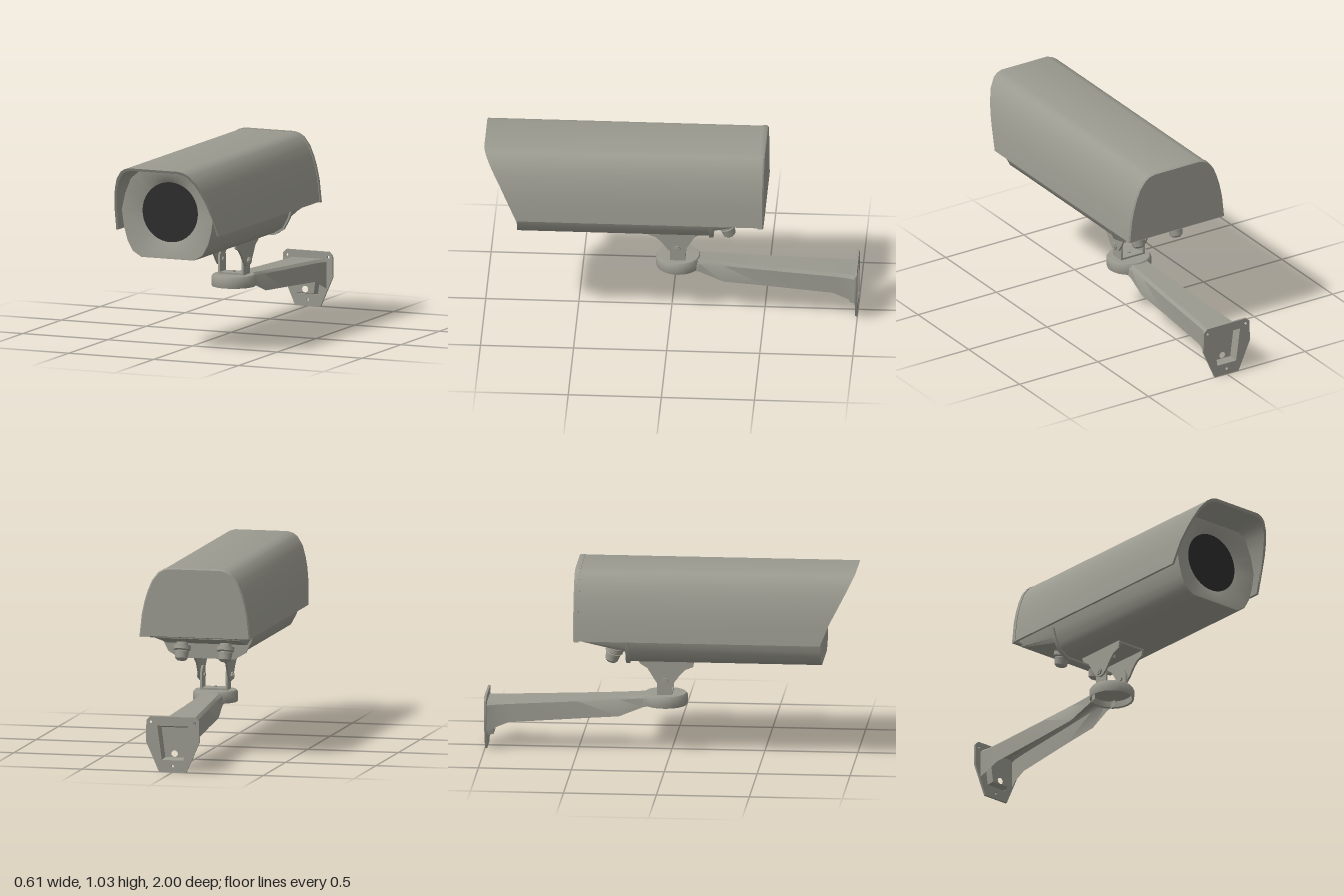
import * as THREE from 'three';
import { toCreasedNormals } from 'three/addons/utils/BufferGeometryUtils.js';

const grey = new THREE.MeshStandardMaterial({ color: 0x9b9a90, side: THREE.DoubleSide });
grey.name = 'warmGrey';
const dark = new THREE.MeshStandardMaterial({ color: 0x2d2d2d });
dark.name = 'glassBlack';

// Right half of an outline (bottom to top) -> full counter-clockwise outline
const mirror = half => [...half, ...half.map(([x, y]) => [-x, y]).reverse()];
const shapeOf = pts => new THREE.Shape(pts.map(p => new THREE.Vector2(...p)));
const circle = (x, y, r) => new THREE.Path().absarc(x, y, r, 0, Math.PI * 2, true);

function add(parent, name, geo, pos = [0, 0, 0], mat = grey, crease = 0.7) {
  const mesh = new THREE.Mesh(toCreasedNormals(geo, crease), mat);
  mesh.name = name;
  mesh.position.set(...pos);
  parent.add(mesh);
  return mesh;
}

// Skin through rings of [x, y, z] points
function loft(rings, closed) {
  const n = rings[0].length, index = [];
  for (let i = 0; i < rings.length - 1; i++) {
    for (let j = 0; j < (closed ? n : n - 1); j++) {
      const k = (j + 1) % n, a = i * n + j, b = i * n + k;
      index.push(a, b, b + n, a, b + n, a + n);
    }
  }
  const geo = new THREE.BufferGeometry();
  geo.setAttribute('position', new THREE.Float32BufferAttribute(rings.flat(2), 3));
  geo.setIndex(index);
  return geo;
}

const extrude = (shape, depth) =>
  new THREE.ExtrudeGeometry(shape, { depth, bevelEnabled: false, curveSegments: 6 });

// Plate drawn in (z, y), given thickness along x, centred on x = 0
const sidePlate = (shape, t) => extrude(shape, t).translate(0, 0, -t / 2).rotateY(-Math.PI / 2);

const hoodHalf = [[0.303, 0.66], [0.29, 0.78], [0.275, 0.85], [0.258, 0.905],
  [0.235, 0.96], [0.2, 1.005], [0.175, 1.02], [0.145, 1.028]];

function buildHood(g) {
  // Sunshade: thin band whose front edge is cut back towards the bottom
  const outer = mirror(hoodHalf);
  const inner = outer.map(([x, y]) => [x * 0.955, 0.66 + (y - 0.66) * 0.96]).reverse();
  const geo = extrude(shapeOf([...outer, ...inner]), 1);
  const p = geo.attributes.position;
  for (let i = 0; i < p.count; i++) {
    const front = 0.82 + 0.18 * Math.max(0, (p.getY(i) - 0.685) / 0.343);
    p.setZ(i, p.getZ(i) > 0.5 ? front : -0.49);
  }
  add(g, 'sunshade', geo);
  // Rear cap, slightly proud of the sunshade
  const cap = mirror(hoodHalf.map(([x, y]) => [x * 1.012, 0.655 + (y - 0.66) * 1.02]));
  const ring = (s, z) => cap.map(([x, y]) => [x * s, 0.83 + (y - 0.83) * s, z]);
  add(g, 'rearCap', loft([ring(0, -0.508), ring(0.975, -0.508), ring(1, -0.5),
    ring(1, -0.478), ring(0.96, -0.478)], true));
}

function buildHousing(g) {
  const corners = mirror([[0.155, 0.52], [0.205, 0.55], [0.238, 0.61], [0.257, 0.68],
    [0.27, 0.77], [0.25, 0.86], [0.215, 0.945], [0.165, 0.985]]);
  // Subdivide the outline so that it blends into the round window
  const outline = corners.flatMap(([x, y], i) => {
    const [u, v] = corners[(i + 1) % corners.length];
    const n = Math.hypot(u - x, v - y) > 0.2 ? 8 : 2;
    return Array.from({ length: n }, (_, k) => [x + (u - x) * k / n, y + (v - y) * k / n]);
  });
  const cy = 0.768, r = 0.163;
  const ring = (z, min = 0, s = 1) =>
    outline.map(([x, y]) => [x * s, Math.max(cy + (y - cy) * s, min), z]);
  const round = z => outline.map(([x, y]) => {
    const a = Math.atan2(y - cy, x);
    return [r * Math.cos(a), cy + r * Math.sin(a), z];
  });
  // Sloped rear belly, straight body, front rim and recessed funnel
  add(g, 'housing', loft([ring(-0.495, 0.65), ring(-0.22, 0.585), ring(-0.22), ring(0.82),
    ring(0.82, 0, 0.975), round(0.785)], true));
  add(g, 'window', new THREE.CircleGeometry(r, 40), [0, cy, 0.787], dark);
  // Lip around the lower rear edge
  const lip = mirror([[0.155, 0.508], [0.212, 0.542], [0.246, 0.605], [0.262, 0.66]]);
  add(g, 'rearLip', extrude(shapeOf(lip), 0.02), [0, 0, -0.232]);

  // Cable glands under the sloped belly
  const profile = [[0, -0.1], [0.022, -0.1], [0.034, -0.09], [0.04, -0.052], [0.034, -0.048],
    [0.048, -0.042], [0.048, -0.02], [0.032, -0.018], [0.032, 0.025]];
  for (const s of [-1, 1]) {
    const gland = add(g, 'cableGland',
      new THREE.LatheGeometry(profile.map(p => new THREE.Vector2(...p)), 12),
      [s * 0.12, 0.602, -0.29]);
    gland.rotation.x = 0.3;
  }
}

function buildBracket(g) {
  add(g, 'bracketTop', new THREE.BoxGeometry(0.17, 0.012, 0.3), [0, 0.512, -0.025]);
  add(g, 'bracketScrew', new THREE.CylinderGeometry(0.015, 0.015, 0.02, 8), [0, 0.498, -0.025]);
  const ear = shapeOf([[-0.18, 0.515], [-0.165, 0.49], [-0.125, 0.465], [-0.085, 0.4],
    [-0.065, 0.37], [-0.035, 0.36], [-0.005, 0.365], [0.02, 0.39], [0.05, 0.43],
    [0.08, 0.46], [0.12, 0.475], [0.13, 0.515]]);
  const lug = shapeOf([[-0.075, 0.315], [0.005, 0.315], [0.005, 0.41], [-0.015, 0.44],
    [-0.055, 0.44], [-0.075, 0.41]]);
  for (const s of [-1, 1]) {
    add(g, 'upperEar', sidePlate(ear, 0.011), [s * 0.081, 0, 0]);
    add(g, 'lowerLug', sidePlate(lug, 0.011), [s * 0.07, 0, 0]);
    // Pivot bolt with washer
    add(g, 'pivotBolt', new THREE.CylinderGeometry(0.012, 0.012, 0.045, 8).rotateZ(Math.PI / 2),
      [s * 0.079, 0.39, -0.033]);
    add(g, 'boltHead', new THREE.CylinderGeometry(0.022, 0.022, 0.01, 6).rotateZ(Math.PI / 2),
      [s * 0.092, 0.39, -0.033]);
  }
  add(g, 'lugBase', new THREE.BoxGeometry(0.15, 0.01, 0.08), [0, 0.32, -0.035]);
  add(g, 'baseScrew', new THREE.CylinderGeometry(0.008, 0.008, 0.012, 8), [0, 0.327, -0.035]);
}

function buildArm(g) {
  // Round head, hollow below
  const head = [[0, 0.29], [0.108, 0.288], [0.11, 0.255], [0.118, 0.25], [0.121, 0.262],
    [0.121, 0.3], [0.112, 0.313], [0, 0.315]];
  add(g, 'armHead', new THREE.LatheGeometry(head.map(p => new THREE.Vector2(...p)), 24),
    [0, 0, -0.035]);
  // Channel arm, open below: z, top half width, bottom half width, top y, bottom y
  const stations = [[-0.988, 0.11, 0.11, 0.26, 0.1], [-0.95, 0.098, 0.1, 0.262, 0.12],
    [-0.87, 0.092, 0.094, 0.267, 0.152], [-0.5, 0.075, 0.08, 0.285, 0.177],
    [-0.28, 0.065, 0.076, 0.297, 0.192], [-0.15, 0.062, 0.066, 0.306, 0.243],
    [-0.09, 0.07, 0.07, 0.31, 0.255]];
  add(g, 'arm', loft(stations.map(([z, tw, bw, yt, yb]) =>
    mirror([[bw, yb], [tw, yt - 0.015], [tw - 0.015, yt]]).map(([x, y]) => [x, y, z])), false));

  // Wall plate with an opening for the pocket and fixing holes
  const plate = shapeOf(mirror([[0.075, 0], [0.148, 0.165], [0.145, 0.28], [0.125, 0.3]]));
  const pocket = mirror([[0.06, 0.065], [0.085, 0.25]]);
  plate.holes.push(new THREE.Path(pocket.map(p => new THREE.Vector2(...p))),
    circle(0, 0.033, 0.008), circle(0.122, 0.27, 0.008), circle(-0.122, 0.27, 0.008));
  add(g, 'wallPlate', extrude(plate, 0.012), [0, 0, -1]);
  // Recessed pocket panel with a cable hole
  const inner = pocket.map(([x, y]) => [x * 0.85, 0.15 + (y - 0.15) * 0.88]);
  add(g, 'pocketWall', loft([inner.map(p => [...p, -0.955]), pocket.map(p => [...p, -0.998])], true));
  const panel = shapeOf(inner);
  panel.holes.push(circle(0, 0.095, 0.018));
  add(g, 'pocketPanel', new THREE.ShapeGeometry(panel, 6), [0, 0, -0.955]);
}

export function createModel() {
  const model = new THREE.Group();
  model.name = 'securityCamera';
  const parts = { hood: buildHood, housing: buildHousing, bracket: buildBracket, wallArm: buildArm };
  for (const [name, build] of Object.entries(parts)) {
    const g = new THREE.Group();
    g.name = name;
    build(g);
    model.add(g);
  }
  return model;
}
